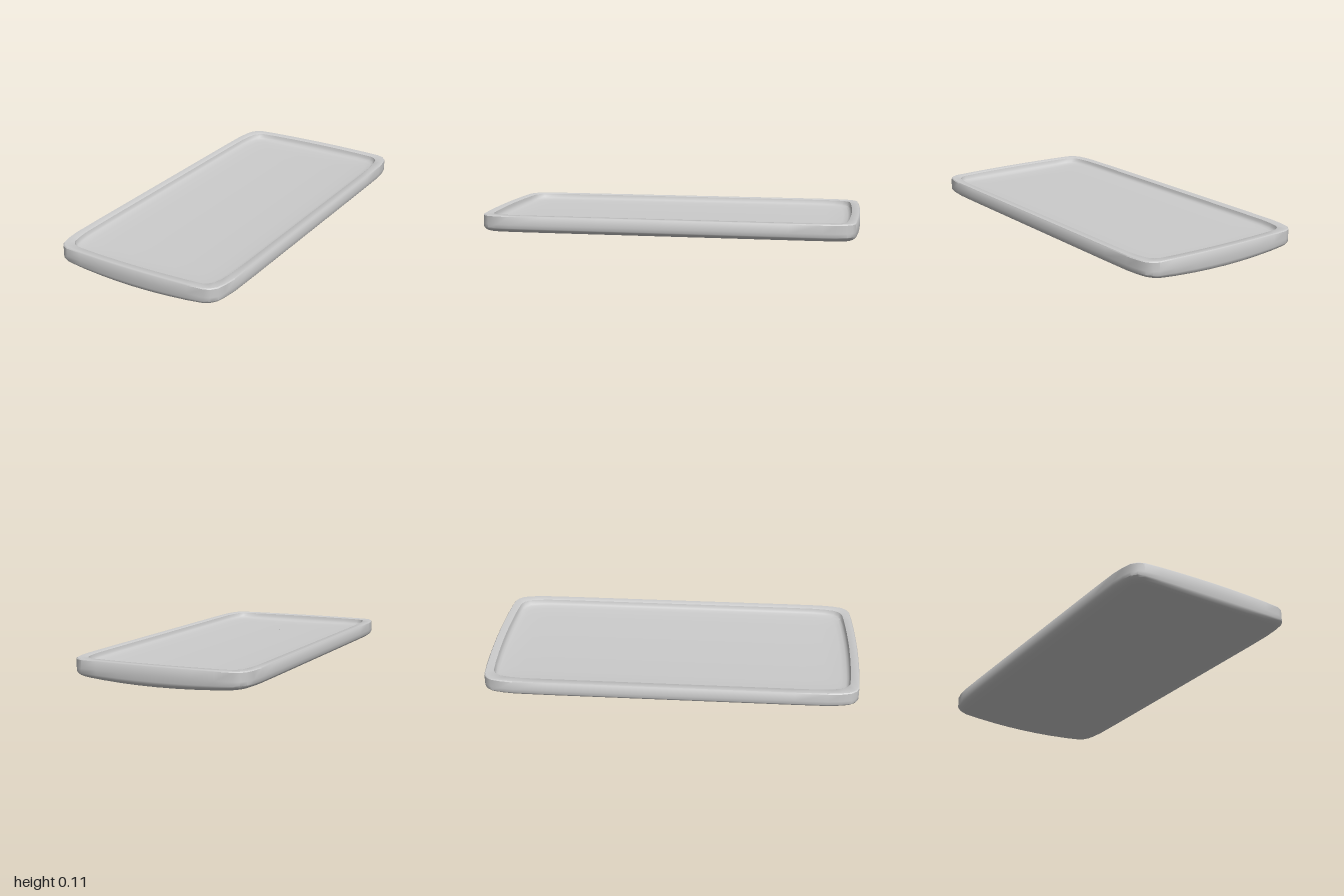
import * as THREE from 'three';
import { toCreasedNormals } from 'three/addons/utils/BufferGeometryUtils.js';

const HALF_W = 0.485;

// Outline of the tray: one quarter from the side to the end, mirrored around
function outline() {
  const q = [[0.485, 0], [0.485, 0.35], [0.485, 0.65], [0.483, 0.82], [0.475, 0.89], [0.463, 0.94],
    [0.44, 0.968], [0.41, 0.982], [0.32, 0.99], [0.2, 0.996], [0.1, 0.999], [0, 1]];
  const half = [...q, ...q.slice(0, -1).reverse().map(([x, z]) => [-x, z])];
  return [...half, ...half.slice(1, -1).reverse().map(([x, z]) => [x, -z])];
}

// Loft rings of [inset, height, rise towards the long sides]
function loft(rings) {
  const pts = outline(), n = pts.length, pos = [], idx = [];
  for (const [inset, y, rise] of rings) {
    for (const [x, z] of pts) {
      const px = x * (1 - inset / HALF_W);
      pos.push(px, y + rise * (px / HALF_W) ** 2, z * (1 - inset));
    }
  }
  for (let i = 0; i < rings.length - 1; i++) {
    for (let j = 0; j < n; j++) {
      const a = i * n + j, b = i * n + (j + 1) % n;
      idx.push(a, a + n, b, b, a + n, b + n);
    }
  }
  const g = new THREE.BufferGeometry();
  g.setAttribute('position', new THREE.Float32BufferAttribute(pos, 3));
  g.setIndex(idx);
  return toCreasedNormals(g, 0.7);
}

export function createModel() {
  const group = new THREE.Group();
  group.name = 'tray';
  const material = new THREE.MeshStandardMaterial({ color: 0xcccccc });
  const add = (name, rings) => {
    const mesh = new THREE.Mesh(loft(rings), material);
    mesh.name = name;
    group.add(mesh);
  };

  // Bowed underside, rounded lower edge, upright wall and flat rim
  add('shell', [
    [0.485, 0, 0.022], [0.36, 0, 0.022], [0.24, 0, 0.022], [0.12, 0, 0.022], [0.03, 0, 0.022],
    [0.014, 0.006, 0.022], [0.004, 0.016, 0.02], [0, 0.03, 0.012], [0, 0.06, 0],
    [0, 0.103, 0], [0.004, 0.108, 0], [0.041, 0.108, 0], [0.044, 0.106, 0],
  ]);

  // Shallow recess with a soft fillet into its floor
  add('recess', [
    [0.044, 0.106, 0], [0.047, 0.093, 0], [0.053, 0.08, 0.004], [0.065, 0.072, 0.009],
    [0.09, 0.068, 0.011], [0.18, 0.067, 0.012], [0.28, 0.067, 0.012], [0.38, 0.067, 0.012], [0.485, 0.067, 0.012],
  ]);
  return group;
}
